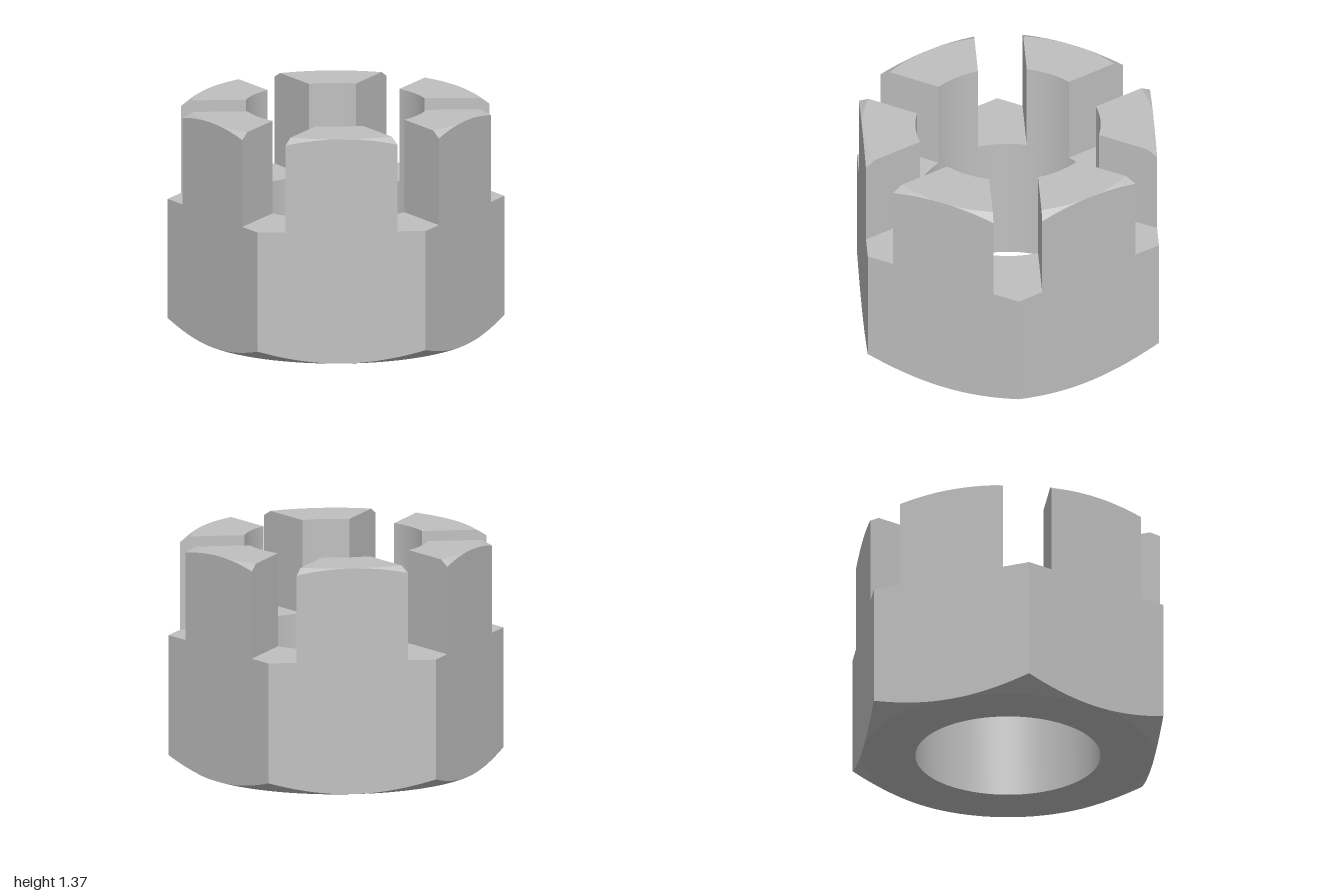
import * as THREE from 'three';
import { toCreasedNormals } from 'three/addons/utils/BufferGeometryUtils.js';

const APOTHEM = Math.sqrt(3) / 2; // hexagon with corner radius 1
const HOLE = 0.55;
const SLOT = 0.145; // half width of a slot
const FLOOR = 0.805; // height of the slot floors
const TOP = 1.37;
const SIXTH = Math.PI / 3;
const chamfer = r => (r - APOTHEM) * Math.tan(Math.PI / 6);
const polar = (r, y, a) => new THREE.Vector3(r * Math.cos(a), y, r * Math.sin(a));

// Joins equal cross-sections into a skin; each section runs counter-clockwise in (radius, y)
function sweep(sections, { caps = false, skipEdge = -1 } = {}) {
  const pos = [];
  const tri = (...pts) => pts.forEach(p => pos.push(p.x, p.y, p.z));
  const n = sections[0].length;
  for (let i = 0; i + 1 < sections.length; i++) {
    const s = sections[i], t = sections[i + 1];
    for (let j = 0; j < n; j++) {
      if (j === skipEdge) continue;
      const k = (j + 1) % n;
      tri(s[j], s[k], t[k]);
      tri(s[j], t[k], t[j]);
    }
  }
  if (caps) {
    const a = sections[0], b = sections[sections.length - 1];
    for (let j = 1; j + 1 < n; j++) {
      tri(a[0], a[j + 1], a[j]);
      tri(b[0], b[j], b[j + 1]);
    }
  }
  const geo = new THREE.BufferGeometry();
  geo.setAttribute('position', new THREE.Float32BufferAttribute(pos, 3));
  return toCreasedNormals(geo, 0.3);
}

// Hexagonal body with the lower chamfer and the bore
function bodyGeometry() {
  const sections = [], steps = 144;
  for (let i = 0; i <= steps; i++) {
    const a = ((i % steps) / steps) * Math.PI * 2;
    const fromFace = a - Math.round(a / SIXTH) * SIXTH;
    const r = APOTHEM / Math.cos(fromFace);
    sections.push([
      polar(HOLE, 0, a), polar(APOTHEM, 0, a), polar(r, chamfer(r), a),
      polar(r, FLOOR, a), polar(HOLE, FLOOR, a),
    ]);
  }
  return sweep(sections);
}

// One tooth between two slots, centred on +x, with the upper chamfer
function toothGeometry() {
  const slotAngle = r => Math.PI / 6 - Math.asin(SLOT / r);
  const inner = slotAngle(HOLE), rim = slotAngle(APOTHEM);
  const outer = Math.atan((0.5 - SLOT / APOTHEM) / APOTHEM);
  const sections = [], steps = 16;
  for (let i = 0; i <= steps; i++) {
    const s = (i / steps) * 2 - 1;
    const r = APOTHEM / Math.cos(s * outer);
    sections.push([
      polar(HOLE, FLOOR, s * inner), polar(r, FLOOR, s * outer),
      polar(r, TOP - chamfer(r), s * outer), polar(APOTHEM, TOP, s * rim),
      polar(HOLE, TOP, s * inner),
    ]);
  }
  return sweep(sections, { caps: true, skipEdge: 0 });
}

export function createModel() {
  const model = new THREE.Group();
  model.name = 'castleNut';
  const steel = new THREE.MeshStandardMaterial({ color: 0xc0c0c0 });
  steel.name = 'steel';

  const body = new THREE.Mesh(bodyGeometry(), steel);
  body.name = 'hexBody';
  model.add(body);

  // Six teeth, one above each flat
  const geo = toothGeometry();
  for (let i = 0; i < 6; i++) {
    const tooth = new THREE.Mesh(geo, steel);
    tooth.name = `tooth${i + 1}`;
    tooth.rotation.y = i * SIXTH;
    model.add(tooth);
  }
  return model;
}
